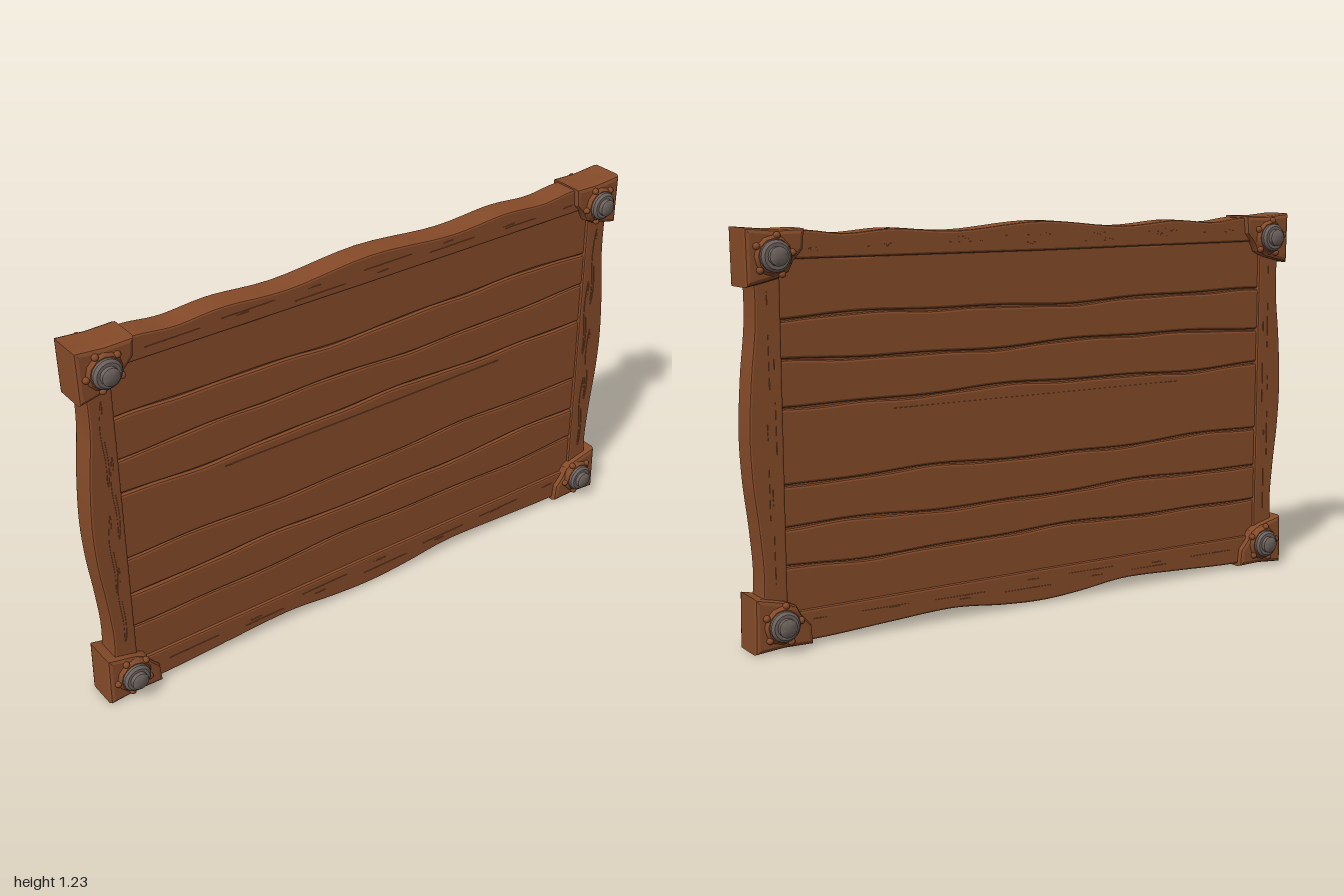
import * as THREE from 'three';
import { toCreasedNormals } from 'three/addons/utils/BufferGeometryUtils.js';

const material = (name, color) => {
  const m = new THREE.MeshStandardMaterial({ color });
  m.name = name;
  return m;
};

export function createModel() {
  const wood = material('brown wood', 0x864b29);
  const metal = material('bolt metal', 0x70645f);
  const model = new THREE.Group();
  model.name = 'woodenBoard';

  const add = (parent, name, geometry, mat) => {
    const mesh = new THREE.Mesh(geometry, mat);
    mesh.name = name;
    parent.add(mesh);
    return mesh;
  };

  // Outline extruded equally to both sides of z = 0, reaching +-half
  const slab = (points, half, bevel = 0) => {
    const g = new THREE.ExtrudeGeometry(
      new THREE.Shape(points.map(([x, y]) => new THREE.Vector2(x, y))),
      {
        depth: 2 * (half - bevel), bevelEnabled: bevel > 0, bevelThickness: bevel,
        bevelSize: bevel, bevelOffset: -bevel, bevelSegments: 2,
      });
    g.translate(0, 0, bevel - half);
    return toCreasedNormals(g, 0.35);
  };

  // Smooth edge through a few points
  const edge = (points, n = 48) =>
    new THREE.SplineCurve(points.map(([x, y]) => new THREE.Vector2(x, y)))
      .getPoints(n).map((p) => [p.x, p.y]);

  // Slightly raised pointed sliver, for the crack and the grain
  const sliver = (x0, x1, y, width, bend, half, upright = false) => {
    const top = [], bottom = [];
    for (let i = 0; i <= 16; i++) {
      const t = i / 16, x = x0 + (x1 - x0) * t;
      const mid = y + bend * Math.sin(t * 7), w = width * Math.sin(Math.PI * t) ** 0.3 / 2 + 0.0006;
      top.push([x, mid + w]);
      bottom.unshift([x, mid - w]);
    }
    const points = [...bottom, ...top.reverse()].map(([a, b]) => (upright ? [b, a] : [a, b]));
    return slab(points, half);
  };

  // Backing behind the planks
  const backing = add(model, 'backing', new THREE.BoxGeometry(1.82, 1.08, 0.044), wood);
  backing.position.y = 0.62;

  // Horizontal planks with wavy edges
  const planks = new THREE.Group();
  planks.name = 'planks';
  model.add(planks);
  const seams = [0.09, 0.24, 0.355, 0.485, 0.715, 0.842, 0.968, 1.15];
  const seamY = (k, x) => seams[k] + 0.006 * Math.sin(x * 5.2 + k * 1.9)
    + 0.003 * Math.sin(x * 12.5 + k * 3.1);
  for (let k = 0; k < seams.length - 1; k++) {
    const lower = [], upper = [];
    for (let i = 0; i <= 60; i++) {
      const x = -0.91 + 1.82 * i / 60;
      lower.push([x, seamY(k, x) + 0.002]);
      upper.unshift([x, seamY(k + 1, x) - 0.003 - 0.0015 * Math.sin(x * 23 + k)]);
    }
    add(planks, 'plank', slab([...lower, ...upper], 0.033 + 0.002 * (k % 2), 0.008), wood);
  }
  add(planks, 'longCrack', sliver(-0.54, 0.53, 0.681, 0.011, 0.001, 0.038), wood);

  // Frame rails: outer edge waves, inner edge almost straight
  const frame = new THREE.Group();
  frame.name = 'frame';
  model.add(frame);
  const topWave = [[-0.92, 1.215], [-0.8, 1.218], [-0.68, 1.206], [-0.52, 1.216], [-0.3, 1.203],
    [0, 1.226], [0.3, 1.204], [0.52, 1.216], [0.68, 1.206], [0.8, 1.218], [0.92, 1.215]];
  const bottomWave = [[-0.92, 0.014], [-0.75, 0.016], [-0.55, 0.026], [-0.33, 0.034], [-0.15, 0.016],
    [0, 0.008], [0.15, 0.016], [0.33, 0.034], [0.55, 0.026], [0.75, 0.016], [0.92, 0.014]];
  const sideWave = [[0.972, 0.08], [0.962, 0.22], [0.972, 0.36], [0.988, 0.5], [0.994, 0.64],
    [0.985, 0.8], [0.97, 0.94], [0.968, 1.05], [0.975, 1.15]];
  add(frame, 'topRail',
    slab([[-0.92, 1.137], [0, 1.134], [0.92, 1.137], ...edge(topWave).reverse()], 0.044, 0.007), wood);
  add(frame, 'bottomRail',
    slab([...edge(bottomWave), [0.92, 0.108], [0, 0.112], [-0.92, 0.108]], 0.044, 0.007), wood);
  for (const s of [-1, 1]) {
    const points = [[0.888, 0.08], ...edge(sideWave), [0.888, 1.15]].map(([x, y]) => [s * x, y]);
    add(frame, s < 0 ? 'rightPost' : 'leftPost', slab(points, 0.0435, 0.007), wood);
  }

  // Carved grain ridges on rails and posts
  for (let i = 0; i < 6; i++) {
    const x = -0.78 + i * 0.25, lift = 0.014 * Math.sin(i * 2.4);
    add(frame, 'railGrain', sliver(x, x + 0.34, 1.172 + lift, 0.01, 0.006, 0.0465), wood);
    add(frame, 'railGrain', sliver(x, x + 0.34, 0.068 - lift, 0.01, 0.006, 0.0465), wood);
  }
  for (const s of [-1, 1]) {
    for (let i = 0; i < 4; i++) {
      const y = 0.2 + i * 0.19;
      add(frame, 'postGrain',
        sliver(y, y + 0.28, s * (0.925 + 0.014 * Math.sin(i * 2.2)), 0.008, 0.004, 0.0455, true), wood);
    }
  }

  // Corner blocks with bolts on both faces
  const blockOutline = [[1, 0], [0.905, 0.008], [0.815, 0.006], [0.82, 0.065], [0.85, 0.098],
    [0.865, 0.128], [0.9, 0.146], [0.95, 0.158], [0.997, 0.168]];
  const boltProfile = [[0.046, 0], [0.046, 0.012], [0.038, 0.019], [0.028, 0.019],
    [0.028, 0.032], [0.025, 0.034], [0, 0.034]].map(([r, h]) => new THREE.Vector2(r, h));
  const boltGeometry = toCreasedNormals(new THREE.LatheGeometry(boltProfile, 20), 0.6);
  const padGeometry = toCreasedNormals(new THREE.CylinderGeometry(0.05, 0.062, 0.018, 12), 0.6);
  const pegGeometry = new THREE.SphereGeometry(0.011, 10, 8);
  for (const sx of [-1, 1]) {
    for (const top of [false, true]) {
      const corner = new THREE.Group();
      corner.name = `${top ? 'top' : 'bottom'}${sx < 0 ? 'Right' : 'Left'}Corner`;
      model.add(corner);
      const place = (y) => (top ? 1.23 - y : y);
      add(corner, 'cornerBlock',
        slab(blockOutline.map(([x, y]) => [sx * x, place(y)]), 0.062, 0.014), wood);
      for (const sz of [-1, 1]) {
        const fixing = new THREE.Group();
        fixing.name = 'bolt';
        fixing.position.set(sx * 0.915, place(0.08), sz * 0.062);
        fixing.rotation.x = sz * Math.PI / 2;
        corner.add(fixing);
        add(fixing, 'woodPad', padGeometry, wood).position.y = 0.003;
        add(fixing, 'boltHead', boltGeometry, metal).position.y = 0.009;
        // Small pegs around the bolt
        for (let i = 0; i < 5; i++) {
          const a = i * Math.PI * 0.4 + 0.5;
          add(fixing, 'peg', pegGeometry, wood)
            .position.set(0.058 * Math.cos(a), 0.002, 0.058 * Math.sin(a));
        }
      }
    }
  }
  return model;
}
